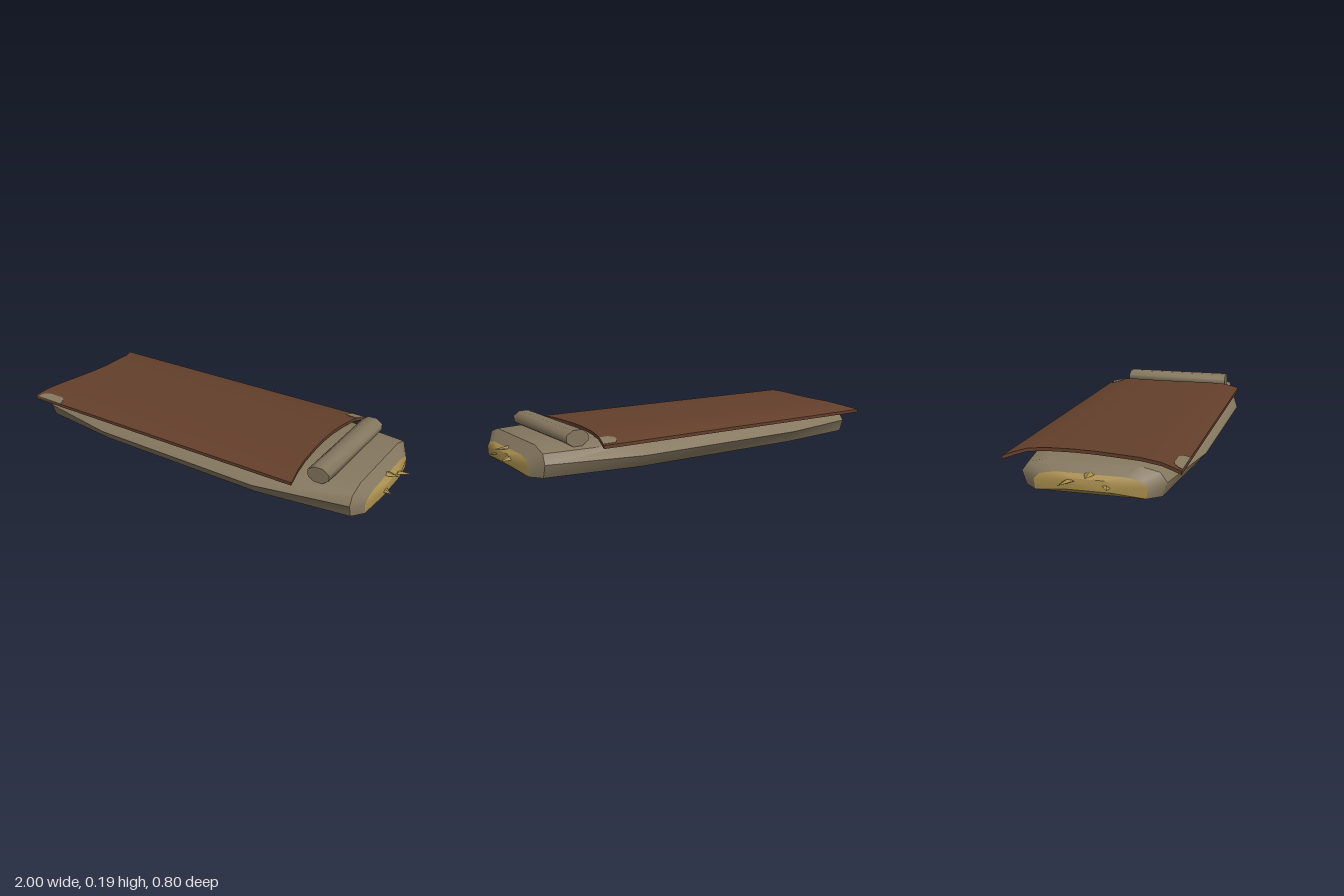
import * as THREE from 'three';
import { toCreasedNormals } from 'three/addons/utils/BufferGeometryUtils.js';

// Skin a list of equal-length point rings, with optional fans closing each end
function loft(rings, capStart, capEnd, crease = 0.7) {
  const n = rings[0].length, pos = rings.flat(2), index = [];
  for (let i = 0; i < rings.length - 1; i++) {
    for (let k = 0; k < n; k++) {
      const a = i * n + k, b = i * n + (k + 1) % n;
      index.push(a, a + n, b + n, a, b + n, b);
    }
  }
  const last = (rings.length - 1) * n;
  for (let k = 1; k < n - 1; k++) {
    if (capStart) index.push(0, k, k + 1);
    if (capEnd) index.push(last, last + k + 1, last + k);
  }
  const g = new THREE.BufferGeometry();
  g.setAttribute('position', new THREE.Float32BufferAttribute(pos, 3));
  g.setIndex(index);
  return toCreasedNormals(g, crease);
}

// Mattress cross-section: half-widths and heights of base, side, shoulder and top
function section([x, base, side, sideY, shoulder, shoulderY, top, topY, y0 = 0]) {
  const half = [[base, y0], [side, sideY], [shoulder, shoulderY], [top, topY]];
  return [
    ...half.map(([z, y]) => [x, y, z]),
    ...half.reverse().map(([z, y]) => [x, y, -z]),
  ];
}

// Height of the blanket's upper face across its width
const drape = [[0, 0.157], [0.2, 0.156], [0.29, 0.15], [0.34, 0.139], [0.38, 0.127]];
function drapeY(z) {
  const a = Math.abs(z);
  for (let i = 1; i < drape.length; i++) {
    const [z0, y0] = drape[i - 1], [z1, y1] = drape[i];
    if (a <= z1) return y0 + (y1 - y0) * (a - z0) / (z1 - z0);
  }
  return drape[drape.length - 1][1];
}

// Cloth slab from rows of [z, left x, right x]
function cloth(rows, lift, thickness) {
  return loft(rows.map(([z, x0, x1]) => {
    const t = drapeY(z) + lift, b = t - thickness;
    return [[x0, t, z], [x1, t, z], [x1, b, z], [x0, b, z]];
  }), true, true);
}

export function createModel() {
  const group = new THREE.Group();
  const mat = (name, color) => new THREE.MeshStandardMaterial({ name, color });
  const canvas = mat('canvas', 0x85775f);
  const brown = mat('brown wool', 0x633f2b);
  const straw = mat('straw', 0xa88d4e);
  const add = (name, geometry, material) => {
    const mesh = new THREE.Mesh(geometry, material);
    mesh.name = name;
    group.add(mesh);
    return mesh;
  };

  // Mattress, widest past the middle and tapering to both ends
  const endL = [-0.922, 0.235, 0.24, 0.045, 0.215, 0.07, 0.15, 0.083];
  const endR = [0.922, 0.235, 0.24, 0.045, 0.215, 0.07, 0.15, 0.083];
  add('mattress', loft([
    endL,
    [-0.877, 0.29, 0.31, 0.06, 0.28, 0.1, 0.2, 0.118],
    [-0.45, 0.34, 0.387, 0.06, 0.34, 0.11, 0.25, 0.135],
    [0.44, 0.35, 0.398, 0.06, 0.34, 0.11, 0.25, 0.135],
    [0.88, 0.29, 0.31, 0.06, 0.29, 0.105, 0.21, 0.13],
    endR,
  ].map(section), false, false), canvas);

  // Bulging straw-filled ends
  const bulge = (x) => [x, 0.1, 0.12, 0.045, 0.1, 0.06, 0.07, 0.068, 0.02];
  add('leftStrawEnd', loft([endR, bulge(0.945)].map(section), false, true), straw);
  add('rightStrawEnd', loft([bulge(-0.945), endL].map(section), true, false), straw);

  // Blanket with wavy ends and flared corners
  add('blanket', cloth([
    [-0.382, -0.91, 0.64], [-0.34, -0.88, 0.63], [-0.29, -0.852, 0.618],
    [-0.2, -0.845, 0.603], [-0.1, -0.84, 0.592], [0, -0.848, 0.59],
    [0.1, -0.863, 0.596], [0.2, -0.88, 0.605], [0.29, -0.902, 0.617],
    [0.34, -0.917, 0.626], [0.376, -0.925, 0.63],
  ], 0, 0.015), brown);

  // Worn corner patches on the blanket
  add('backPatch', cloth([
    [-0.37, 0.575, 0.636], [-0.35, 0.558, 0.632], [-0.325, 0.555, 0.626], [-0.308, 0.58, 0.621],
  ], 0.002, 0.004), canvas);
  add('frontPatch', cloth([
    [0.332, -0.86, -0.77], [0.342, -0.885, -0.755], [0.36, -0.9, -0.747], [0.376, -0.905, -0.747],
  ], 0.002, 0.004), canvas);

  // Pillow roll
  const roll = new THREE.CylinderGeometry(1, 1, 0.575, 8);
  roll.rotateY(Math.PI / 8).rotateX(Math.PI / 2).scale(0.056, 0.039, 1);
  add('pillow', toCreasedNormals(roll, 1), canvas).position.set(0.714, 0.151, 0.003);

  // Straw tufts poking out of each end: y, z, tilt, slant
  const tuft = new THREE.ConeGeometry(1, 0.07, 4).toNonIndexed();
  tuft.scale(0.01, 1, 0.028).rotateZ(-Math.PI / 2).computeVertexNormals();
  for (const s of [1, -1]) {
    for (const [y, z, tilt, slant, x] of [
      [0.082, 0, 0, 0, 0.945], [0.043, 0.08, 0.15, -0.3, 0.95], [0.052, -0.095, -0.15, 0.45, 0.967],
    ]) {
      const mesh = add('strawTuft', tuft, straw);
      mesh.position.set(s * x, y, z);
      mesh.rotation.set(tilt, s > 0 ? slant : Math.PI - slant, 0);
    }
  }
  return group;
}
